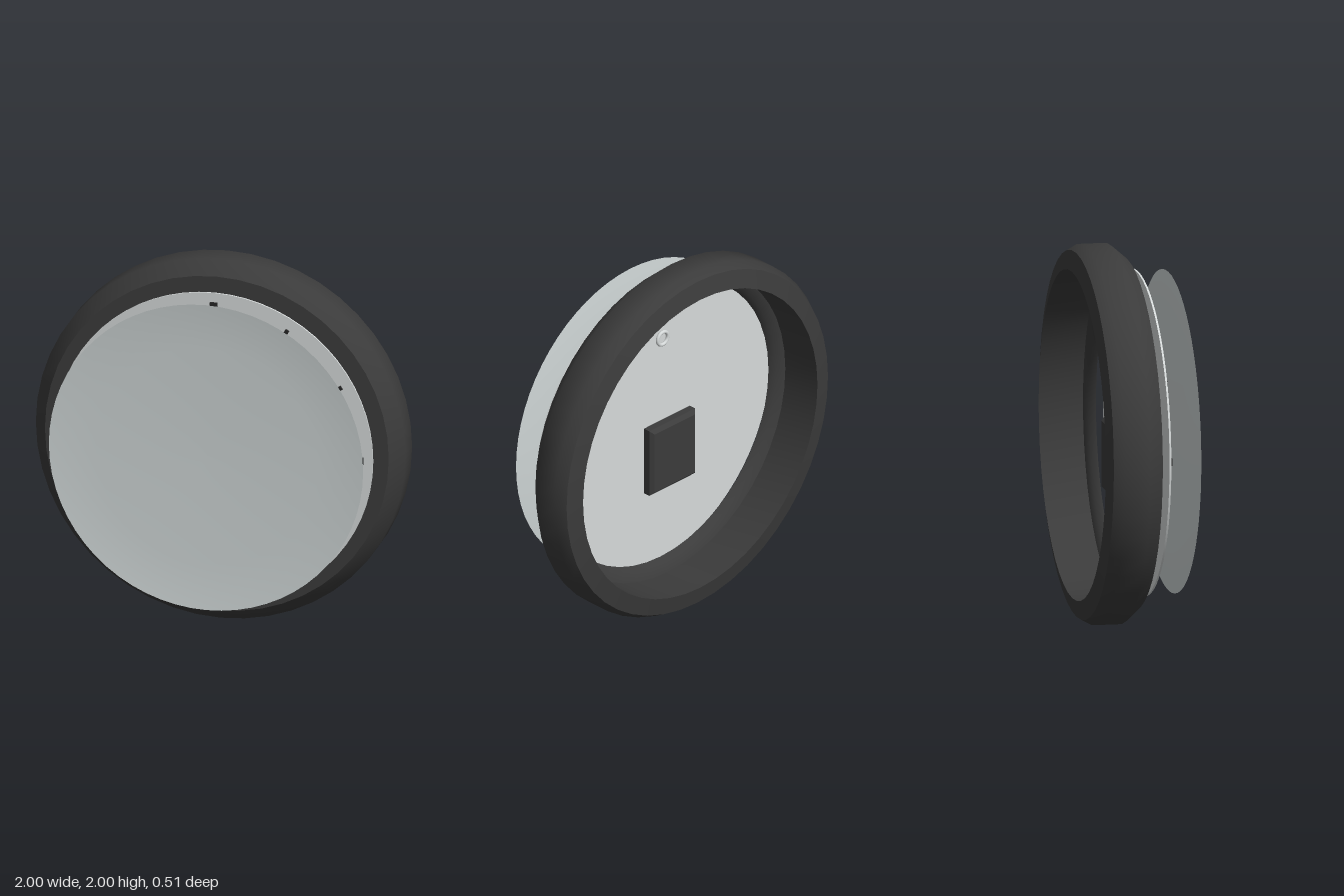
import * as THREE from 'three';
import { toCreasedNormals } from 'three/addons/utils/BufferGeometryUtils.js';

const mat = (name, color, side = THREE.FrontSide) => {
  const m = new THREE.MeshStandardMaterial({ color, side });
  m.name = name;
  return m;
};

export function createModel() {
  const frameBlack = mat('frameBlack', 0x3b3b3b);
  const markBlack = mat('markBlack', 0x262626);
  const dialWhite = mat('dialWhite', 0xd6dada);
  const glassGrey = mat('glassGrey', 0xcdd4d4, THREE.DoubleSide);

  const clock = new THREE.Group();
  clock.name = 'wallClock';
  const face = new THREE.Group(); // everything is placed around the clock centre
  face.position.y = 1;
  clock.add(face);

  const add = (name, geometry, material, x = 0, y = 0, z = 0, parent = face) => {
    const m = new THREE.Mesh(geometry, material);
    m.name = name;
    m.position.set(x, y, z);
    parent.add(m);
    return m;
  };
  // Lathe around the z axis from [radius, z] pairs
  const turn = (pts, segments) =>
    new THREE.LatheGeometry(pts.map(p => new THREE.Vector2(...p)), segments).rotateX(Math.PI / 2);
  // Round plate facing z
  const disc = (r, depth, segments) =>
    new THREE.CylinderGeometry(r, r, depth, segments).rotateX(Math.PI / 2);

  // Outer frame ring, open at the back with a stepped lip at the front
  const frame = turn([
    [0.87, -0.257], [0.97, -0.235], [1, -0.18], [1, -0.045], [0.93, 0.035],
    [0.8, 0.035], [0.82, 0], [0.87, -0.02], [0.87, -0.257],
  ], 48);
  add('frame', toCreasedNormals(frame, 0.77), frameBlack);

  // Dial plate
  add('dial', disc(0.86, 0.01, 64), dialWhite, 0, 0, 0.09);

  // Twelve hour marks, the quarters larger
  for (let i = 0; i < 12; i++) {
    const big = i % 3 === 0;
    const pivot = new THREE.Group();
    pivot.name = 'hourMark' + (i + 1);
    pivot.rotation.z = -i * Math.PI / 6;
    face.add(pivot);
    add('mark', new THREE.BoxGeometry(big ? 0.04 : 0.022, big ? 0.12 : 0.1, 0.012),
      markBlack, 0, 0.75, 0.104, pivot);
  }

  // Hands: each runs from a short tail to its tip
  const hand = (name, degrees, length, tail, width, z) => {
    const pivot = new THREE.Group();
    pivot.name = name;
    pivot.rotation.z = degrees * Math.PI / 180;
    face.add(pivot);
    add(name + 'Blade', new THREE.BoxGeometry(width, length + tail, 0.008),
      markBlack, 0, (length - tail) / 2, z, pivot);
  };
  hand('hourHand', 30, 0.42, 0.08, 0.04, 0.118);
  hand('minuteHand', -30, 0.62, 0.08, 0.026, 0.132);
  hand('secondHand', 149, 0.6, 0.14, 0.01, 0.144);
  add('hub', disc(0.035, 0.05, 24), markBlack, 0, 0, 0.125);

  // Shallow dished cover glass
  add('glass', turn([[0, 0.229], [0.6, 0.232], [0.85, 0.257]], 64), glassGrey);

  // Movement box with bevelled edges
  const w = 0.15, h = 0.175;
  const outline = new THREE.Shape([
    new THREE.Vector2(-w, -h), new THREE.Vector2(w, -h),
    new THREE.Vector2(w, h), new THREE.Vector2(-w, h),
  ]);
  const box = new THREE.ExtrudeGeometry(outline, {
    depth: 0.04, bevelSize: 0.02, bevelThickness: 0.02, bevelSegments: 1,
  });
  add('movementBox', box, frameBlack, 0, -0.135, -0.05);

  // Hanging ring
  add('hangingRing', new THREE.TorusGeometry(0.037, 0.01, 10, 28), dialWhite, 0, 0.525, 0.02);

  return clock;
}
